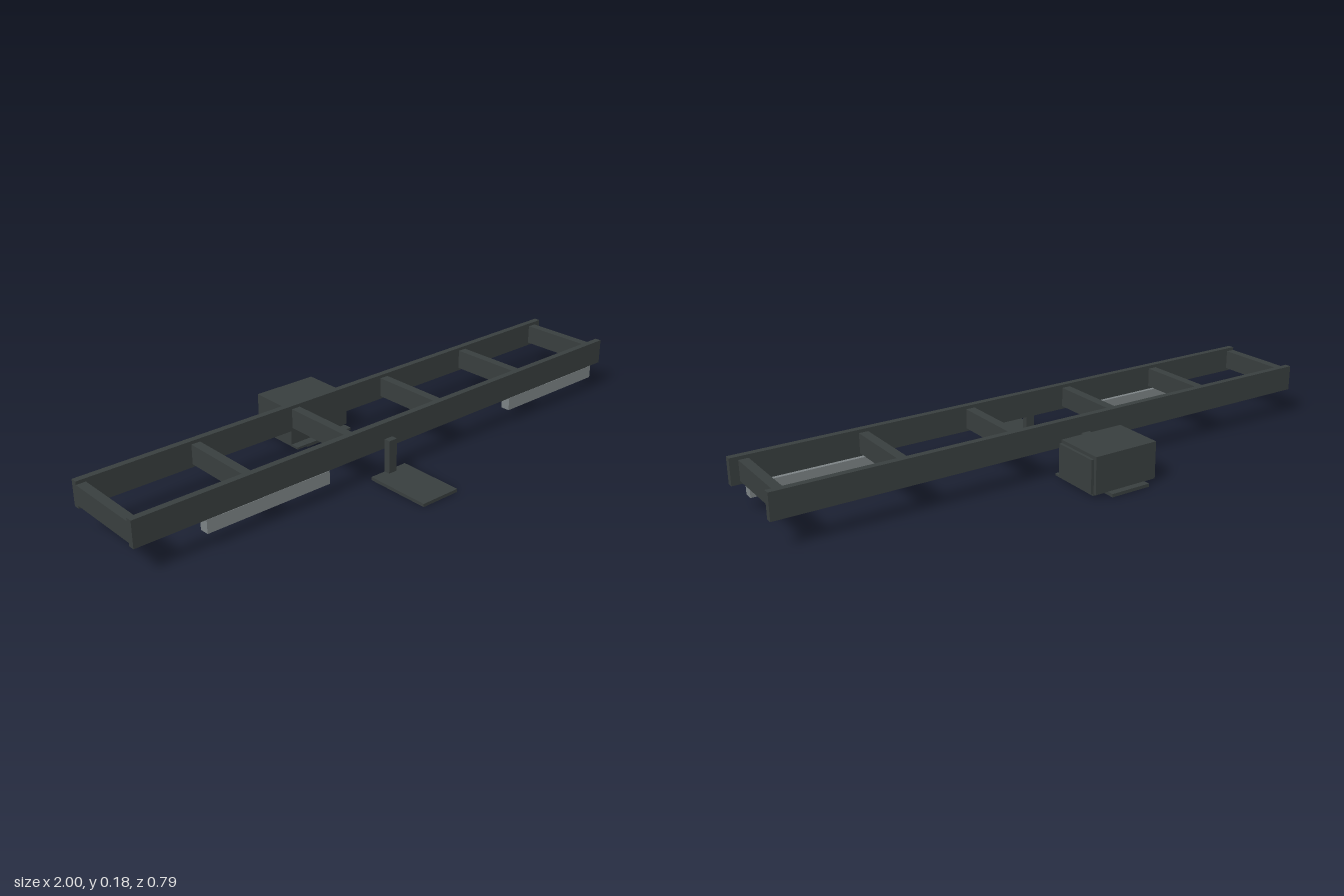
import * as THREE from 'three';

export function createModel() {
  const model = new THREE.Group();
  model.name = 'ladderFrame';
  const darkSteel = new THREE.MeshStandardMaterial({ color: 0x383e3e });
  darkSteel.name = 'darkSteel';
  const paleGrey = new THREE.MeshStandardMaterial({ color: 0x7c8385 });
  paleGrey.name = 'paleGrey';

  // box given by its extents along each axis
  function block(name, [x0, x1], [y0, y1], [z0, z1], material = darkSteel) {
    const mesh = new THREE.Mesh(new THREE.BoxGeometry(x1 - x0, y1 - y0, z1 - z0), material);
    mesh.position.set((x0 + x1) / 2, (y0 + y1) / 2, (z0 + z1) / 2);
    mesh.name = name;
    model.add(mesh);
  }

  // long rails, hanging posts and foot plates on both sides
  for (const s of [1, -1]) {
    const side = s > 0 ? 'front' : 'back';
    const span = (a, b) => (s > 0 ? [a, b] : [-b, -a]);
    block(side + 'Rail', [-1, 1], [0.093, 0.181], span(0.137, 0.159));
    block(side + 'Post', [-0.088, -0.056], [0.011, 0.125], span(0.159, 0.181));
    block(side + 'FootPlate', [-0.145, 0], [0, 0.011], span(0.16, 0.396));
  }

  // cross members
  for (let i = 0; i < 6; i++) {
    const x = -0.984 + i * 0.388;
    block('crossMember' + (i + 1), [x - 0.016, x + 0.016], [0.103, 0.17], [-0.137, 0.137]);
  }

  // pale strips beneath the front rail
  block('rightStrip', [-0.765, -0.315], [0.047, 0.092], [0.126, 0.159], paleGrey);
  block('leftStrip', [0.5, 0.95], [0.047, 0.092], [0.126, 0.159], paleGrey);

  // equipment box at the back, with base plate and side panel
  block('boxBase', [-0.187, 0.047], [0.003, 0.0105], [-0.36, -0.161]);
  block('equipmentBox', [-0.187, 0.047], [0.0105, 0.136], [-0.373, -0.193]);
  block('boxSidePanel', [0.047, 0.057], [0.0115, 0.125], [-0.362, -0.194]);

  return model;
}
